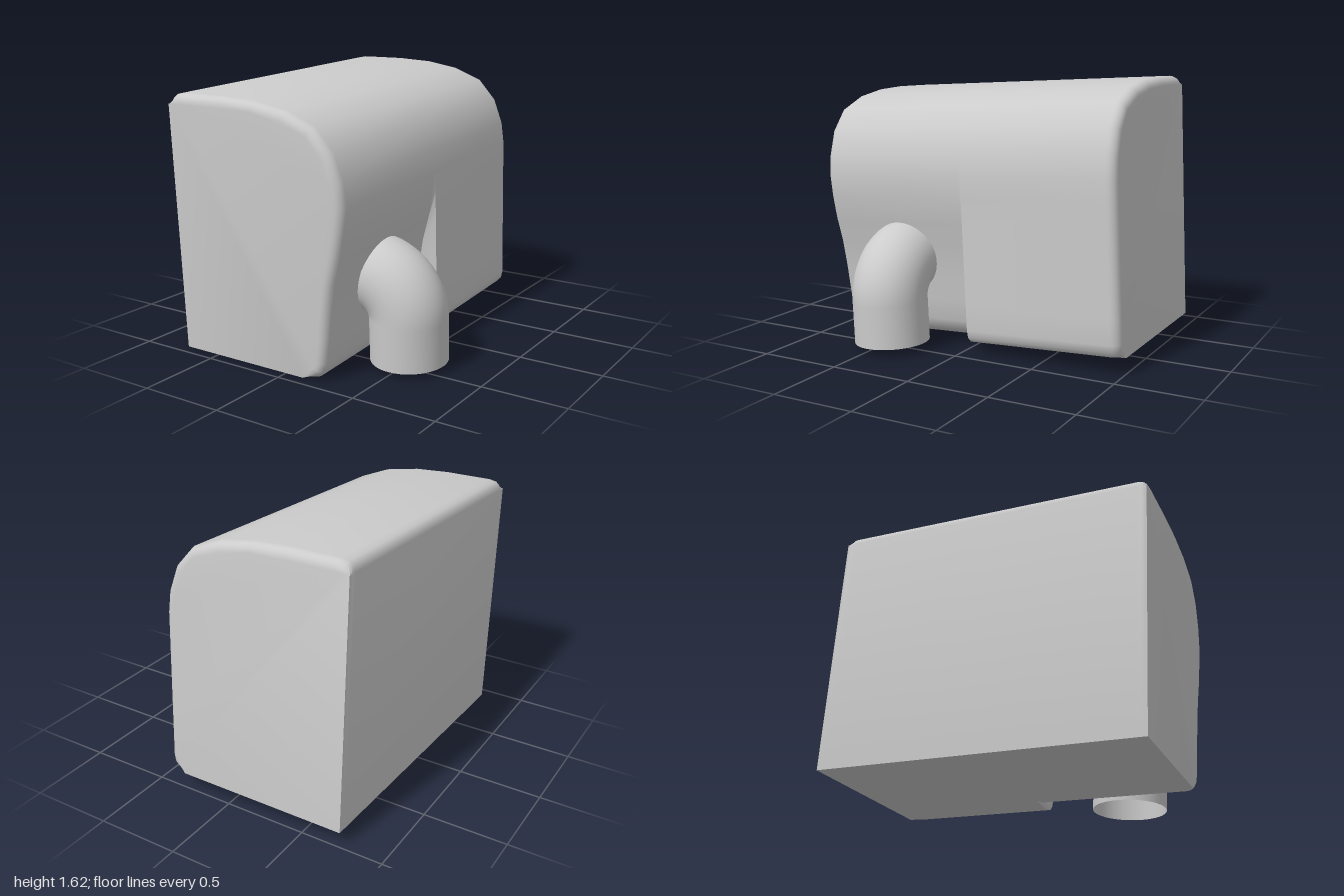
import * as THREE from 'three';
import { toCreasedNormals } from 'three/addons/utils/BufferGeometryUtils.js';

const LEFT = -0.74, HALF = 0.965, BEVEL = 0.055, TILT = 0.048;

// Cross-section, clockwise seen from the front: left wall, crown, right wall, floor
const crown = [[LEFT, 0], [LEFT, 1.47], [-0.727, 1.505], [-0.705, 1.522], [-0.66, 1.53], [-0.37, 1.53],
  [-0.15, 1.518], [0.06, 1.482], [0.24, 1.41], [0.35, 1.285], [0.405, 1.13], [0.42, 1.0]];
const waistedSide = [[0.408, 0.87], [0.38, 0.72], [0.338, 0.57], [0.308, 0.4], [0.287, 0.24],
  [0.268, 0.1], [0.247, 0.042], [0.21, 0.012], [0.12, 0]];
const straightSide = [[0.42, 0.87], [0.42, 0.72], [0.42, 0.57], [0.42, 0.4], [0.42, 0.24],
  [0.42, 0.09], [0.41, 0.045], [0.38, 0.015], [0.32, 0]];

// Shrinks the section, leaving the flat left wall and floor in place
function inset(points, d) {
  const n = points.length;
  return points.map(([x, y], i) => {
    const [px, py] = points[(i + n - 1) % n], [qx, qy] = points[(i + 1) % n];
    const len = Math.hypot(qx - px, qy - py);
    const nx = x === LEFT ? 0 : -(qy - py) / len;
    const ny = y === 0 ? 0 : (qx - px) / len;
    return [x - nx * d, y - ny * d];
  });
}

function bodyGeometry() {
  const front = [...crown, ...waistedSide], back = [...crown, ...straightSide];
  const rings = [], steps = 5;
  // Rounded front edge, sharp step at mid length, rounded back edge
  for (let i = 0; i <= steps; i++) {
    const a = (i / steps) * Math.PI / 2;
    rings.push([inset(front, BEVEL * (1 - Math.sin(a))), HALF - BEVEL * (1 - Math.cos(a))]);
  }
  rings.push([front, 0.012], [back, -0.005]);
  for (let i = steps; i >= 0; i--) {
    const a = (i / steps) * Math.PI / 2;
    rings.push([inset(back, BEVEL * (1 - Math.sin(a))), -HALF + BEVEL * (1 - Math.cos(a))]);
  }
  const n = front.length, position = [], index = [];
  rings.forEach(([points, z]) => points.forEach(([x, y]) => position.push(x, y, z)));
  for (let k = 0; k < rings.length - 1; k++) {
    for (let i = 0; i < n; i++) {
      const a = k * n + i, b = k * n + (i + 1) % n;
      index.push(a, b, a + n, b, b + n, a + n);
    }
  }
  // End walls
  for (const [k, facing] of [[0, 1], [rings.length - 1, -1]]) {
    const pts = rings[k][0].map(([x, y]) => new THREE.Vector2(x, y));
    for (const [a, b, c] of THREE.ShapeUtils.triangulateShape(pts, [])) {
      const turn = THREE.ShapeUtils.area([pts[a], pts[b], pts[c]]) * facing;
      const base = k * n;
      if (turn > 0) index.push(base + a, base + b, base + c);
      else index.push(base + a, base + c, base + b);
    }
  }
  const g = new THREE.BufferGeometry();
  g.setAttribute('position', new THREE.Float32BufferAttribute(position, 3));
  g.setIndex(index);
  return toCreasedNormals(g, 0.65);
}

// Open pipe: straight drop, then a quarter bend into the body
function pipeGeometry() {
  const v = (x, y) => new THREE.Vector3(x, y, 0.47);
  const R = 0.23, h = R * 0.5523, cx = 0.28, cy = 0.27;
  const path = new THREE.CurvePath();
  path.add(new THREE.LineCurve3(v(cx + R, 0.015), v(cx + R, cy)));
  path.add(new THREE.CubicBezierCurve3(v(cx + R, cy), v(cx + R, cy + h), v(cx + h, cy + R), v(cx, cy + R)));
  return new THREE.TubeGeometry(path, 32, 0.226, 40, false);
}

export function createModel() {
  const model = new THREE.Group();
  model.name = 'housingWithPipe';
  const tilted = new THREE.Group();
  tilted.name = 'tiltedAssembly';
  tilted.rotation.x = TILT;
  tilted.position.set(0, 0.047, -0.034);
  model.add(tilted);

  const body = new THREE.Mesh(bodyGeometry(), new THREE.MeshStandardMaterial({ color: 0xcccccc }));
  body.name = 'housing';
  const pipe = new THREE.Mesh(pipeGeometry(),
    new THREE.MeshStandardMaterial({ color: 0xcccccc, side: THREE.DoubleSide }));
  pipe.name = 'elbowPipe';
  tilted.add(body, pipe);
  return model;
}
